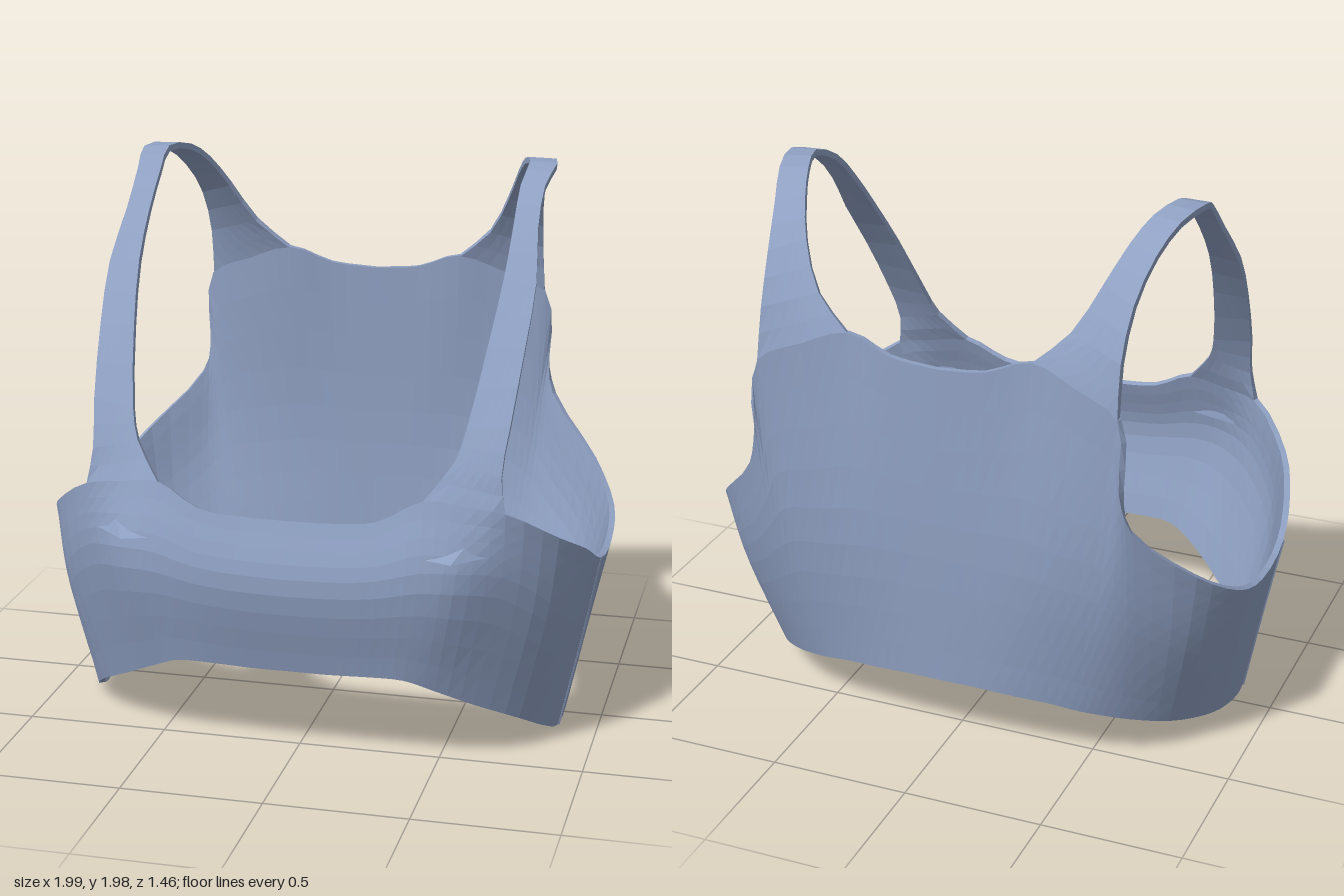
import * as THREE from 'three';
import { ConvexGeometry } from 'three/addons/geometries/ConvexGeometry.js';

const curve = (pts) => new THREE.CatmullRomCurve3(pts.map((p) => new THREE.Vector3(...p)));
const flip = (p) => new THREE.Vector3(-p.x, p.y, p.z);

// Half outlines of the body, from front centre round the +x side to back centre
const HEM = [[0, .335, .65], [.14, .335, .65], [.28, .34, .65], [.4, .335, .64], [.5, .29, .6], [.62, .22, .52],
  [.76, .13, .39], [.83, .05, .25], [.86, .003, .12], [.865, .04, -.1], [.83, .09, -.28], [.75, .125, -.41],
  [.64, .17, -.52], [.56, .195, -.57], [.48, .215, -.605], [.38, .24, -.635], [.26, .255, -.66],
  [.13, .268, -.675], [0, .27, -.68]];
const BUST = [[0, .67, .73], [.17, .675, .73], [.32, .69, .727], [.46, .72, .715], [.58, .72, .69], [.72, .69, .6],
  [.86, .56, .45], [.91, .42, .27], [.935, .36, .08], [.935, .36, -.15], [.915, .42, -.34], [.84, .52, -.52],
  [.7, .64, -.65], [.63, .72, -.69], [.56, .78, -.7], [.43, .8, -.705], [.3, .82, -.705],
  [.15, .82, -.7], [0, .82, -.7]];
const TOP = [[0, .885, .67], [.16, .888, .67], [.31, .905, .667], [.46, .98, .64], [.6, .965, .622], [.73, .94, .595],
  [.89, .82, .44], [.96, .73, .27], [.99, .64, .1], [.995, .62, -.17], [.975, .68, -.38], [.88, .8, -.56],
  [.7, 1, -.71], [.66, 1.15, -.735], [.645, 1.4, -.72], [.49, 1.475, -.695], [.33, 1.53, -.67],
  [.17, 1.475, -.685], [0, 1.46, -.69]];

// Inner and outer strap edges, from the front over the shoulder to the back
const STRAP_IN = [[.46, .98, .64], [.55, 1.1, .57], [.58, 1.2, .52], [.62, 1.45, .37], [.645, 1.65, .22],
  [.65, 1.8, .08], [.65, 1.92, -.06], [.66, 1.98, -.2], [.62, 1.965, -.34], [.58, 1.9, -.45],
  [.53, 1.79, -.55], [.45, 1.64, -.63], [.33, 1.53, -.67]];
const STRAP_OUT = [[.73, .94, .595], [.71, 1.06, .575], [.725, 1.22, .505], [.745, 1.45, .36], [.755, 1.64, .215],
  [.735, 1.8, .075], [.735, 1.92, -.06], [.755, 1.975, -.2], [.72, 1.96, -.36], [.68, 1.88, -.48],
  [.65, 1.75, -.6], [.64, 1.58, -.685], [.645, 1.4, -.72]];

// Cloth of even thickness from a grid of points; the edges are closed by walls
function clothGeometry(grid, closed, thickness = 0.022) {
  const nu = grid.length, nv = grid[0].length;
  const inner = grid.map((col, i) => col.map((p, j) => {
    const prev = closed && i === 0 ? nu - 2 : Math.max(i - 1, 0);
    const next = closed && i === nu - 1 ? 1 : Math.min(i + 1, nu - 1);
    const du = grid[next][j].clone().sub(grid[prev][j]);
    const dv = col[Math.min(j + 1, nv - 1)].clone().sub(col[Math.max(j - 1, 0)]);
    return p.clone().addScaledVector(du.cross(dv).normalize(), -thickness);
  }));
  const pos = [];
  const quad = (a, b, c, d) => [a, b, c, a, c, d].forEach((p) => pos.push(p.x, p.y, p.z));
  for (let i = 0; i < nu - 1; i++) {
    for (let j = 0; j < nv - 1; j++) {
      quad(grid[i][j], grid[i + 1][j], grid[i + 1][j + 1], grid[i][j + 1]);
      quad(inner[i][j], inner[i][j + 1], inner[i + 1][j + 1], inner[i + 1][j]);
    }
    quad(inner[i][0], inner[i + 1][0], grid[i + 1][0], grid[i][0]);
    const t = nv - 1;
    quad(grid[i][t], grid[i + 1][t], inner[i + 1][t], inner[i][t]);
  }
  if (!closed) for (let j = 0; j < nv - 1; j++) {
    const e = nu - 1;
    quad(grid[0][j], grid[0][j + 1], inner[0][j + 1], inner[0][j]);
    quad(inner[e][j], inner[e][j + 1], grid[e][j + 1], grid[e][j]);
  }
  const geo = new THREE.BufferGeometry();
  geo.setAttribute('position', new THREE.Float32BufferAttribute(pos, 3));
  geo.computeVertexNormals();
  return geo;
}

export function createModel() {
  const cloth = new THREE.MeshStandardMaterial({ color: 0x8fa0c2, flatShading: true, side: THREE.DoubleSide });
  cloth.name = 'blue grey cloth';
  const model = new THREE.Group();
  model.name = 'cropTop';
  const add = (name, geo) => {
    const mesh = new THREE.Mesh(geo, cloth);
    mesh.name = name;
    model.add(mesh);
  };

  // Body, a closed loop from the hem up to the neckline and armholes
  const K = 3, cols = (HEM.length - 1) * K, rows = 9;
  const [hem, bust, top] = [HEM, BUST, TOP].map(curve);
  const half = [];
  for (let i = 0; i <= cols; i++) {
    const column = new THREE.CatmullRomCurve3([hem, bust, top].map((c) => c.getPoint(i / cols)));
    half.push(Array.from({ length: rows + 1 }, (_, j) => column.getPoint(j / rows)));
  }
  const mirrored = half.slice(0, -1).reverse().map((col) => col.map(flip));
  add('body', clothGeometry([...half, ...mirrored], true));

  // Shoulder straps, starting and ending on the top edge of the body
  const frontStart = 3 * K, backStart = 16 * K, across = 2 * K, steps = (STRAP_IN.length - 1) * 2;
  const strapIn = curve(STRAP_IN), strapOut = curve(STRAP_OUT);
  const strap = Array.from({ length: across + 1 }, (_, s) => Array.from({ length: steps + 1 }, (_, k) => {
    if (k === 0) return half[frontStart + s][rows].clone();
    if (k === steps) return half[backStart - s][rows].clone();
    return strapIn.getPoint(k / steps).lerp(strapOut.getPoint(k / steps), s / across);
  }));
  add('leftStrap', clothGeometry(strap, false));
  add('rightStrap', clothGeometry(strap.map((col) => col.map(flip)).reverse(), false));

  // Side seams and the small pinched folds at the bust
  const seam = half[8 * K];
  const fold = [[.42, .8, .69], [.62, .855, .64], [.71, .8, .61], [.57, .79, .715]].map((p) => new THREE.Vector3(...p));
  for (const [side, map] of [['left', (p) => p.clone()], ['right', flip]]) {
    add(side + 'SideSeam', new THREE.TubeGeometry(new THREE.CatmullRomCurve3(seam.map(map)), 12, 0.005, 4));
    add(side + 'BustFold', new ConvexGeometry(fold.map(map)));
  }
  return model;
}
